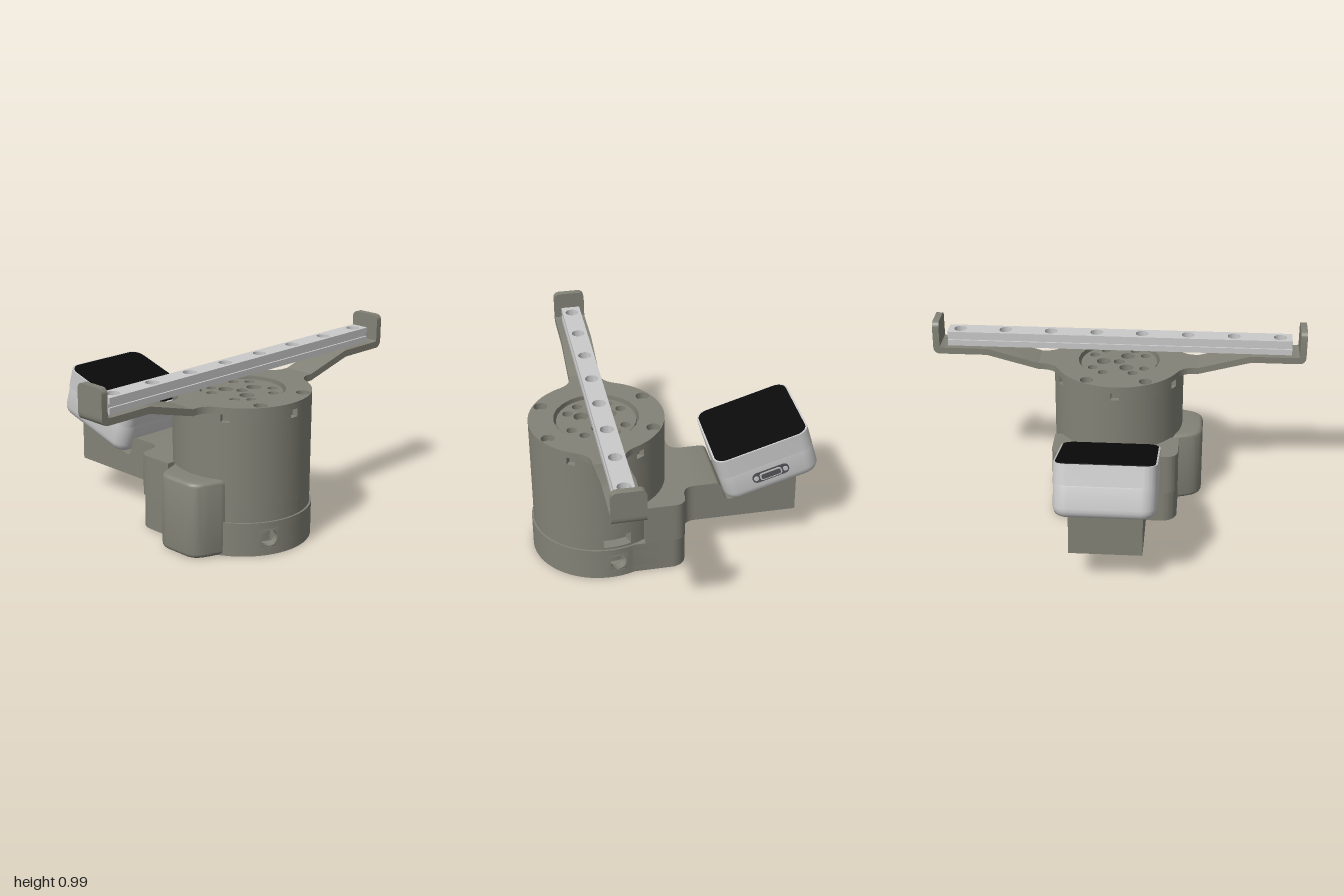
import * as THREE from 'three';
import { toCreasedNormals } from 'three/addons/utils/BufferGeometryUtils.js';

const mat = (name, color) => {
  const m = new THREE.MeshStandardMaterial({ color });
  m.name = name;
  return m;
};
const DEG = Math.PI / 180;

// Points along a circle in the x-z plane (degrees)
function sweep(R, a0, a1) {
  const n = Math.max(1, Math.ceil((a1 - a0) / 4)), pts = [];
  for (let i = 0; i <= n; i++) {
    const a = (a0 + (a1 - a0) * i / n) * DEG;
    pts.push(new THREE.Vector2(R * Math.cos(a), R * Math.sin(a)));
  }
  return pts;
}

// Circle arc with pockets cut in; each notch is [angle, half angle, depth]
function arc(R, a0, a1, notches = []) {
  const pts = [];
  let a = a0;
  for (const [c, h, d] of notches) {
    pts.push(...sweep(R, a, c - h), ...sweep(R - d, c - h, c + h));
    a = c + h;
  }
  pts.push(...sweep(R, a, a1));
  if (a1 - a0 === 360) pts.pop();
  return pts;
}

const disk = (R, notches, start = -150) => new THREE.Shape(arc(R, start, start + 360, notches));

function punch(shape, x, y, r) {
  shape.holes.push(new THREE.Path().absarc(x, y, r, 0, Math.PI * 2, true));
  return shape;
}

function roundRect(w, h, r) {
  const s = new THREE.Shape(), x = w / 2, y = h / 2;
  s.absarc(x - r, y - r, r, 0, Math.PI / 2);
  s.absarc(-x + r, y - r, r, Math.PI / 2, Math.PI);
  s.absarc(-x + r, -y + r, r, Math.PI, Math.PI * 1.5);
  s.absarc(x - r, -y + r, r, Math.PI * 1.5, Math.PI * 2);
  return s;
}

const box = (x0, x1, y0, y1) => new THREE.Shape([[x0, y0], [x1, y0], [x1, y1], [x0, y1]].map(p => new THREE.Vector2(...p)));
const extrude = (shape, depth, opts = {}) =>
  new THREE.ExtrudeGeometry(shape, { depth, bevelEnabled: false, curveSegments: 12, ...opts });

// Plan shape (x, z) raised from y0 to y1, with an optional rounded rim
function slab(shape, y0, y1, bevel = 0) {
  const g = extrude(shape, y1 - y0 - 2 * bevel, bevel ? {
    bevelEnabled: true, bevelSize: bevel, bevelThickness: bevel, bevelOffset: -bevel, bevelSegments: 5 } : {});
  return g.rotateX(Math.PI / 2).translate(0, y1 - bevel, 0);
}

// Side profile (z, y) extruded across x
const sideSlab = (shape, w) => extrude(shape, w).rotateY(-Math.PI / 2).translate(w / 2, 0, 0);

export function createModel() {
  const housing = mat('housing grey', 0x828277);
  const metal = mat('light metal', 0xcacaca);
  const black = mat('screen black', 0x0a0a0a);
  const dark = mat('port grey', 0x55555a);

  const model = new THREE.Group();
  const add = (parent, name, geo, material) => {
    const m = new THREE.Mesh(toCreasedNormals(geo, 0.5), material);
    m.name = name;
    parent.add(m);
    return m;
  };
  const group = (parent, name) => {
    const g = new THREE.Group();
    g.name = name;
    parent.add(g);
    return g;
  };

  const drum = group(model, 'drum');
  drum.position.x = 0.39;

  // Base: disk joined to a square shoulder, with an open underside
  const ports = [-97, 23];
  const baseShape = notches => {
    const s = new THREE.Shape(arc(0.36, -111, 111, notches));
    s.lineTo(-0.33, 0.336);
    s.absarc(-0.33, 0.256, 0.08, Math.PI / 2, Math.PI);
    s.absarc(-0.33, -0.256, 0.08, Math.PI, Math.PI * 1.5);
    const keys = [-135, -45, 45, 135].map(a => [a, 7, -0.045]);
    s.holes.push(new THREE.Path(arc(0.21, -180, 180, keys).reverse()));
    for (const z of [-0.25, 0.25]) punch(s, -0.32, z, 0.035);
    return s;
  };
  add(drum, 'baseBottom', slab(baseShape(), 0, 0.04), housing);
  add(drum, 'baseMiddle', slab(baseShape(ports.map(a => [a, 8, 0.08])), 0.04, 0.14), housing);
  add(drum, 'baseTop', slab(baseShape(), 0.14, 0.175), housing);
  add(drum, 'innerHub', slab(punch(disk(0.09), 0, 0, 0.05), 0.08, 0.176), housing);

  // Round side openings, bent to follow the base
  for (const a of ports) {
    const g = extrude(punch(box(-0.0502, 0.0502, -0.05, 0.05), 0, 0, 0.043), 0.04).translate(0, 0, -0.04);
    const p = g.attributes.position;
    for (let i = 0; i < p.count; i++) {
      p.setZ(i, p.getZ(i) + Math.sqrt(0.36 ** 2 - p.getX(i) ** 2) - 0.36);
    }
    g.computeVertexNormals();
    const m = add(drum, 'sideOpening', g, housing);
    m.position.set(0.36 * Math.cos(a * DEG), 0.09, 0.36 * Math.sin(a * DEG));
    m.rotation.y = Math.PI / 2 - a * DEG;
  }

  // Drum wall with a rear window and six latch pockets
  const latches = [-120, -60, 0, 60, 120, 180].map(a => [a, 3.7, 0.03]);
  const screws = [-150, -30, 30, 150].map(a => [0.31 * Math.cos(a * DEG), 0.31 * Math.sin(a * DEG)]);
  add(drum, 'wallFoot', slab(disk(0.35), 0.175, 0.187), housing);
  add(drum, 'wallWindow', slab(disk(0.35, [[-97, 12, 0.06]]), 0.187, 0.255), housing);
  add(drum, 'wall', slab(disk(0.35), 0.255, 0.69), housing);
  const latchShape = punch(disk(0.35, latches), 0, 0, 0.22);
  for (const [x, z] of screws) punch(latchShape, x, z, 0.019);
  add(drum, 'latchBand', slab(latchShape, 0.69, 0.73), housing);

  // Top ring with flared necks that carry the bracket arms
  const ring = new THREE.Shape(sweep(0.35, -65, 65));
  ring.quadraticCurveTo(0.083, 0.347, 0.083, 0.41);
  ring.lineTo(0.083, 0.43).lineTo(-0.083, 0.43).lineTo(-0.083, 0.41);
  ring.quadraticCurveTo(-0.083, 0.347, -0.148, 0.317);
  for (const p of sweep(0.35, 115, 245)) ring.lineTo(p.x, p.y);
  ring.quadraticCurveTo(-0.083, -0.347, -0.083, -0.41);
  ring.lineTo(-0.083, -0.43).lineTo(0.083, -0.43).lineTo(0.083, -0.41);
  ring.quadraticCurveTo(0.083, -0.347, 0.148, -0.317);
  punch(ring, 0, 0, 0.22);
  for (const [x, z] of screws) punch(ring, x, z, 0.035);
  add(drum, 'topRing', slab(ring, 0.73, 0.765), housing);

  // Perforated inner disc
  const inner = punch(disk(0.205), 0, 0, 0.03);
  for (const a of [30, 60, 120, 150, 210, 240, 300, 330]) punch(inner, 0.16 * Math.cos(a * DEG), 0.16 * Math.sin(a * DEG), 0.026);
  for (const a of [30, 150, 270]) punch(inner, 0.085 * Math.cos(a * DEG), 0.085 * Math.sin(a * DEG), 0.038);
  add(drum, 'innerDisc', slab(inner, 0.71, 0.75), housing);

  // Bracket arms, one at each end
  for (const turn of [0, Math.PI]) {
    const arm = group(drum, 'bracketArm');
    arm.rotation.y = turn;
    const slope = new THREE.Shape([[0.43, 0.73], [0.71, 0.805], [0.74, 0.805], [0.74, 0.84], [0.705, 0.84], [0.43, 0.765]].map(p => new THREE.Vector2(...p)));
    add(arm, 'armSlope', sideSlab(slope, 0.166), housing);
    add(arm, 'armFlat', slab(punch(box(-0.083, 0.083, 0.74, 0.93), 0, 0.861, 0.02), 0.805, 0.84), housing);
    const bend = new THREE.Shape().moveTo(0.93, 0.805).lineTo(0.96, 0.805);
    bend.quadraticCurveTo(1, 0.805, 1, 0.845);
    bend.lineTo(0.965, 0.845).lineTo(0.955, 0.84).lineTo(0.93, 0.84);
    add(arm, 'armBend', sideSlab(bend, 0.166), housing);
    const lip = new THREE.Shape().moveTo(-0.083, 0.845).lineTo(0.083, 0.845);
    lip.absarc(0.053, 0.955, 0.03, 0, Math.PI / 2);
    lip.absarc(-0.053, 0.955, 0.03, Math.PI / 2, Math.PI);
    add(arm, 'endLip', extrude(lip, 0.035).translate(0, 0, 0.965), housing);
  }

  // Rail: foot, waist and head, with counterbored holes
  for (const [name, half, y0, y1, r] of [['railFoot', 0.05, 0.84, 0.872, 0.021],
    ['railWaist', 0.04, 0.872, 0.89, 0.034], ['railHead', 0.05, 0.89, 0.92, 0.034]]) {
    const s = box(-half, half, -0.925, 0.925);
    for (let i = 0; i < 8; i++) punch(s, 0, -0.861 + 0.246 * i, r);
    add(drum, name, slab(s, y0, y1), metal);
  }

  // Front bulge
  const bulge = new THREE.Shape().moveTo(-0.178, 0.25).lineTo(0.178, 0.25).lineTo(0.178, 0.31);
  bulge.bezierCurveTo(0.15, 0.39, 0.14, 0.464, 0.06, 0.464);
  bulge.lineTo(-0.06, 0.464);
  bulge.bezierCurveTo(-0.14, 0.464, -0.15, 0.39, -0.178, 0.31);
  add(drum, 'frontBulge', slab(bulge, 0, 0.395, 0.025), housing);

  // Upper shoulder, filleted into the screen arm
  const shoulder = new THREE.Shape().moveTo(0.2, -0.336).lineTo(0.2, 0.336).lineTo(0.05, 0.336);
  shoulder.quadraticCurveTo(-0.02, 0.336, -0.02, 0.265);
  shoulder.quadraticCurveTo(-0.02, 0.185, -0.09, 0.185);
  shoulder.lineTo(-0.09, -0.185);
  shoulder.quadraticCurveTo(-0.02, -0.185, -0.02, -0.265);
  shoulder.quadraticCurveTo(-0.02, -0.336, 0.05, -0.336);
  add(model, 'shoulder', slab(shoulder, 0.175, 0.395), housing);

  // Screen arm with a sloping cradle and screw holes beneath
  const foot = box(-0.638, -0.09, -0.185, 0.185);
  for (const z of [-0.125, 0.125]) punch(foot, -0.57, z, 0.033);
  add(model, 'screenArmFoot', slab(foot, 0.175, 0.21), housing);
  const cradle = new THREE.Shape().moveTo(-0.638, 0.21).lineTo(-0.09, 0.21).lineTo(-0.09, 0.395).lineTo(-0.2, 0.395);
  cradle.quadraticCurveTo(-0.225, 0.395, -0.235, 0.36);
  cradle.lineTo(-0.248, 0.31);
  cradle.quadraticCurveTo(-0.258, 0.278, -0.29, 0.289);
  cradle.lineTo(-0.638, 0.405);
  add(model, 'screenArm', extrude(cradle, 0.37).translate(0, 0, -0.185), housing);

  // Tilted screen unit
  const screen = group(model, 'screenUnit');
  screen.position.set(-0.508, 0.37, 0);
  screen.rotation.z = -0.292;
  add(screen, 'screenBack', slab(roundRect(0.517, 0.506, 0.075), 0, 0.212, 0.052), metal);
  add(screen, 'screenFrame', slab(roundRect(0.517, 0.506, 0.065), 0.166, 0.272), metal);
  add(screen, 'screenGlass', slab(roundRect(0.497, 0.488, 0.058), 0.271, 0.276), black);

  // Connector on the rear side of the screen unit
  const port = group(screen, 'connector');
  port.position.set(0, 0.105, -0.252);
  port.rotation.y = Math.PI;
  add(port, 'connectorFlange', extrude(roundRect(0.2, 0.06, 0.028), 0.005), dark);
  add(port, 'connectorShell', extrude(roundRect(0.12, 0.044, 0.015), 0.009), metal);
  add(port, 'connectorSocket', extrude(roundRect(0.105, 0.03, 0.01), 0.011), dark);
  for (const x of [-0.08, 0.08]) {
    add(port, 'connectorScrew', new THREE.CylinderGeometry(0.013, 0.013, 0.012, 12).rotateX(Math.PI / 2).translate(x, 0, 0.005), metal);
  }
  return model;
}
